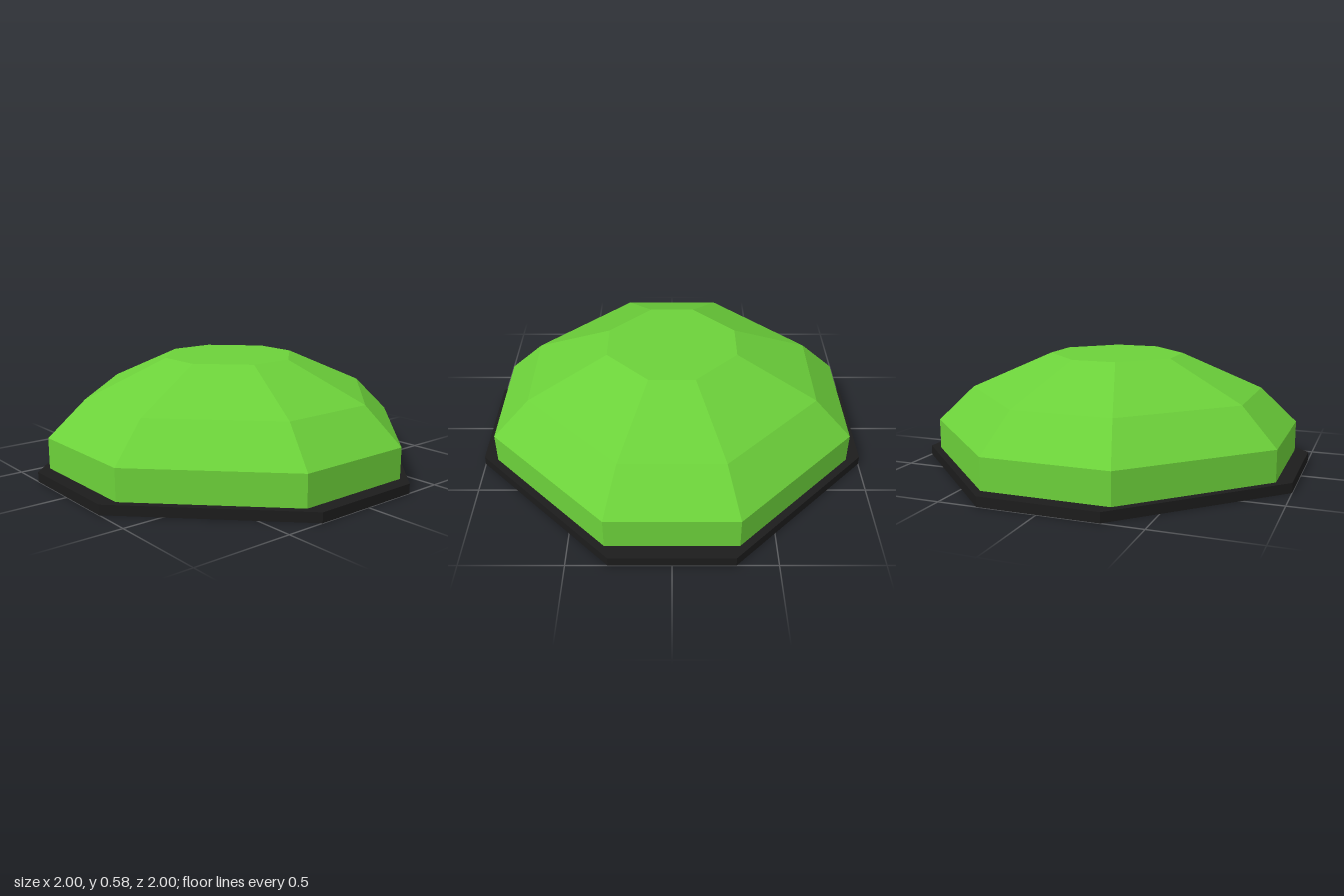
import * as THREE from 'three';

// Corners of an octagon: a = half length of the axis-facing sides, b = their distance from the centre
const octagon = (a, b) => [[b, a], [a, b], [-a, b], [-b, a], [-b, -a], [-a, -b], [a, -b], [b, -a]];

// Flat-faced shell through a stack of octagonal rings [a, b, y], closed on top
function octagonShell(rings) {
  const pos = [];
  const loops = rings.map(([a, b, y]) => octagon(a, b).map(([x, z]) => [x, y, z]));
  for (let r = 0; r < loops.length - 1; r++) {
    const lo = loops[r], hi = loops[r + 1];
    for (let i = 0; i < 8; i++) {
      const j = (i + 1) % 8;
      pos.push(...lo[i], ...hi[i], ...hi[j], ...lo[i], ...hi[j], ...lo[j]);
    }
  }
  const top = loops[loops.length - 1];
  const centre = [0, top[0][1], 0];
  for (let i = 0; i < 8; i++) pos.push(...top[i], ...centre, ...top[(i + 1) % 8]);
  const geo = new THREE.BufferGeometry();
  geo.setAttribute('position', new THREE.Float32BufferAttribute(pos, 3));
  geo.computeVertexNormals();
  return geo;
}

export function createModel() {
  const group = new THREE.Group();
  const toPoints = (list) => list.map(([x, y]) => new THREE.Vector2(x, y));

  // Flat octagonal frame with an open middle
  const outline = new THREE.Shape(toPoints(octagon(0.3, 1)));
  outline.holes.push(new THREE.Path(toPoints(octagon(0.28, 0.87))));
  const frameGeo = new THREE.ExtrudeGeometry(outline, { depth: 0.05, bevelEnabled: false });
  frameGeo.rotateX(-Math.PI / 2);
  const frame = new THREE.Mesh(frameGeo, new THREE.MeshStandardMaterial({ color: 0x1c1c1c, flatShading: true }));
  frame.name = 'baseFrame';
  group.add(frame);

  // Thin faceted dome: upright wall, two sloping tiers, flat top
  const dome = new THREE.Mesh(
    octagonShell([[0.32, 0.925, 0.05], [0.32, 0.925, 0.21], [0.257, 0.74, 0.397], [0.117, 0.335, 0.585]]),
    new THREE.MeshStandardMaterial({ color: 0x6cd13a, flatShading: true, side: THREE.DoubleSide })
  );
  dome.name = 'dome';
  group.add(dome);

  return group;
}
